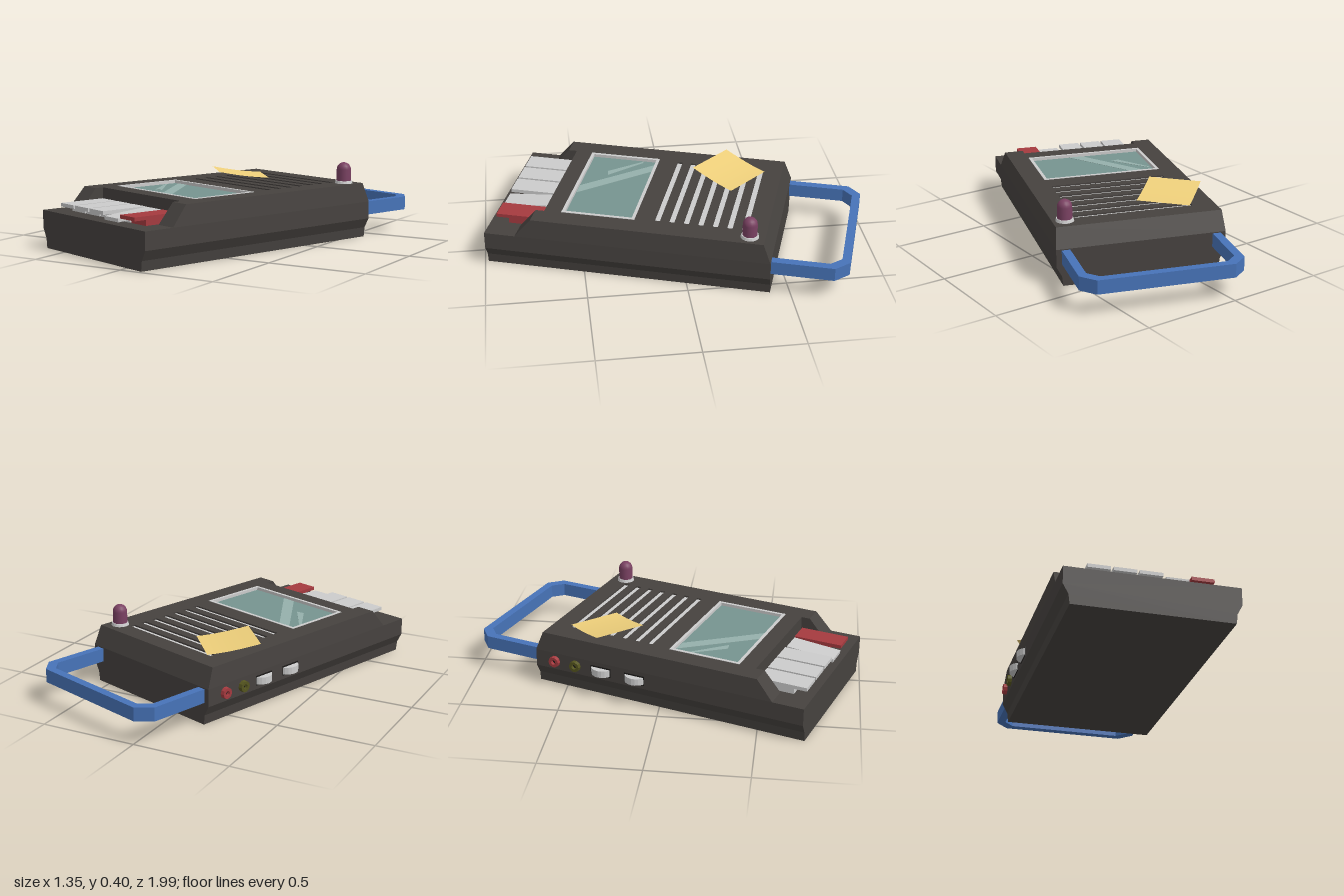
import * as THREE from 'three';

const mat = (color, flat = true) =>
  new THREE.MeshStandardMaterial({ color, flatShading: flat, side: THREE.DoubleSide });
const CASE = mat(0x46423f), GREY = mat(0xcccccc), BLUE = mat(0x4773b8), RED = mat(0xa53a3f);
const DARK = mat(0x1c1a19), GLASS = mat(0x769490), GLINT = mat(0x95b0ab);

const poly = (pts) => new THREE.Shape(pts.map(([x, y]) => new THREE.Vector2(x, y)));
const rect = (x0, z0, x1, z1) => [[x0, z0], [x1, z0], [x1, z1], [x0, z1]];

// Plan outline in (x, z), with holes, raised from y0 to y1
function slab(outline, holes, y0, y1) {
  const flip = (pts) => pts.map(([x, z]) => [x, -z]);
  const shape = poly(flip(outline));
  holes.forEach((h) => shape.holes.push(poly(flip(h))));
  const g = new THREE.ExtrudeGeometry(shape, { depth: y1 - y0, bevelEnabled: false });
  return g.rotateX(-Math.PI / 2).translate(0, y0, 0);
}

export function createModel() {
  const root = new THREE.Group();
  const device = new THREE.Group();
  device.name = 'recorder';
  device.position.set(-0.039, 0, 0.165);
  device.rotation.y = THREE.MathUtils.degToRad(-18.5);
  root.add(device);

  const add = (name, geo, material, x = 0, y = 0, z = 0, parent = device) => {
    const m = new THREE.Mesh(geo, material);
    m.name = name;
    m.position.set(x, y, z);
    parent.add(m);
    return m;
  };

  // Lower case: waisted section run along the length
  const half = [[0.397, 0], [0.403, 0.05], [0.43, 0.1], [0.43, 0.19]];
  const section = [...half, ...half.map(([x, y]) => [-x, y]).reverse()];
  add('lowerCase', new THREE.ExtrudeGeometry(poly(section), { depth: 1.46, bevelEnabled: false })
    .translate(0, 0, -0.73), CASE);

  // Upper case: key bay at the front, openings for window and grille
  const slatZ = Array.from({ length: 7 }, (_, i) => -0.58 + i * 0.0733);
  const windowRect = rect(-0.316, -0.026, 0.316, 0.352);
  const outline = [[-0.43, -0.73], [0.43, -0.73], [0.43, 0.57], [0.32, 0.57],
    [0.32, 0.44], [-0.32, 0.44], [-0.32, 0.57], [-0.43, 0.57]];
  const slots = slatZ.map((z) => rect(-0.302, z - 0.014, 0.302, z + 0.014));
  const upper = slab(outline, [windowRect, ...slots], 0.19, 0.29);
  const p = upper.attributes.position;
  for (let i = 0; i < p.count; i++) {
    if (p.getY(i) < 0.28) continue;
    const x = p.getX(i), z = p.getZ(i);
    if (Math.abs(x) > 0.42) p.setX(i, Math.sign(x) * 0.42);
    if (z < -0.72) p.setZ(i, -0.692);
    if (z > 0.56) p.setZ(i, 0.485);
  }
  upper.computeVertexNormals();
  add('upperCase', upper, CASE);

  // Speaker grille
  slatZ.forEach((z) => add('grilleSlat', new THREE.BoxGeometry(0.604, 0.05, 0.028), GREY, 0, 0.257, z));

  // Window with frame and glints
  add('windowFrame', slab(windowRect, [rect(-0.3, -0.01, 0.3, 0.336)], 0.25, 0.292), GREY);
  add('windowGlass', new THREE.BoxGeometry(0.61, 0.02, 0.356), GLASS, 0, 0.266, 0.163);
  [
    [[-0.27, -0.008], [-0.2, -0.008], [0.09, 0.334], [0.015, 0.334]],
    [[-0.295, 0.06], [-0.28, 0.06], [-0.12, 0.215], [-0.16, 0.225]],
  ].forEach((pts) => add('windowGlint', slab(pts, [], 0.276, 0.2775), GLINT));

  // Five keys: overhanging cap on a shorter stem; one is pressed
  for (let i = 0; i < 5; i++) {
    const key = new THREE.Group();
    key.name = 'key';
    key.position.set(-0.252 + i * 0.126, 0.19, 0.45);
    const m = i === 4 ? RED : GREY;
    add('keyCap', new THREE.BoxGeometry(0.113, 0.018, 0.25), m, 0, 0.037, 0.125, key);
    add('keyStem', new THREE.BoxGeometry(0.113, 0.028, 0.185), m, 0, 0.014, 0.0925, key);
    if (i === 3) key.rotation.x = 0.08;
    device.add(key);
  }

  // Carrying handle: flat bar bent round chamfered corners
  const bar = (o, c, z) => [[o, -0.7], [o, z + c], [o - c, z], [c - o, z], [-o, z + c], [-o, -0.7]];
  const handle = [...bar(0.403, 0.068, -1.112), ...bar(0.361, 0.052, -1.07).reverse()];
  add('handle', slab(handle, [], 0.115, 0.185), BLUE);

  // Lamp on a collar
  const lampProfile = [new THREE.Vector2(0.037, 0)];
  for (let i = 0; i <= 6; i++) {
    const a = (i / 6) * Math.PI / 2;
    lampProfile.push(new THREE.Vector2(0.037 * Math.cos(a), 0.06 + 0.037 * Math.sin(a)));
  }
  add('lampCollar', new THREE.CylinderGeometry(0.042, 0.046, 0.014, 16), GREY, 0.357, 0.297, -0.615);
  add('lamp', new THREE.LatheGeometry(lampProfile, 16), mat(0x7a4162, false), 0.357, 0.303, -0.615);

  // Curled paper note
  const paper = new THREE.PlaneGeometry(0.268, 0.272, 8, 1).rotateX(-Math.PI / 2);
  const q = paper.attributes.position;
  for (let i = 0; i < q.count; i++) {
    const t = THREE.MathUtils.clamp(0.5 - q.getX(i) / 0.268, 0, 1);
    q.setY(i, 0.293 + 0.035 * Math.pow(t, 1.6));
  }
  paper.computeVertexNormals();
  add('paperNote', paper, mat(0xefd07b, false), -0.24, 0, -0.415).rotation.y = THREE.MathUtils.degToRad(58.2);

  // Thumbwheels half sunk in the side
  [-0.355, -0.166].forEach((z) => {
    add('thumbwheel', new THREE.CylinderGeometry(0.06, 0.06, 0.036, 20), GREY, -0.405, 0.145, z);
    add('thumbwheelSlot', new THREE.BoxGeometry(0.004, 0.05, 0.112), DARK, -0.43, 0.145, z);
  });

  // Sockets: coloured rings with dark bores
  const ring = [[0.013, 0], [0.013, 0.02], [0.028, 0.02], [0.03, 0]].map(([r, y]) => new THREE.Vector2(r, y));
  [[-0.62, RED], [-0.5, mat(0x55551f)]].forEach(([z, m]) => {
    add('socketRing', new THREE.LatheGeometry(ring, 10).rotateZ(Math.PI / 2), m, -0.43, 0.145, z);
    add('socketBore', new THREE.CylinderGeometry(0.014, 0.014, 0.006, 10).rotateZ(Math.PI / 2), DARK, -0.43, 0.145, z);
  });

  return root;
}
